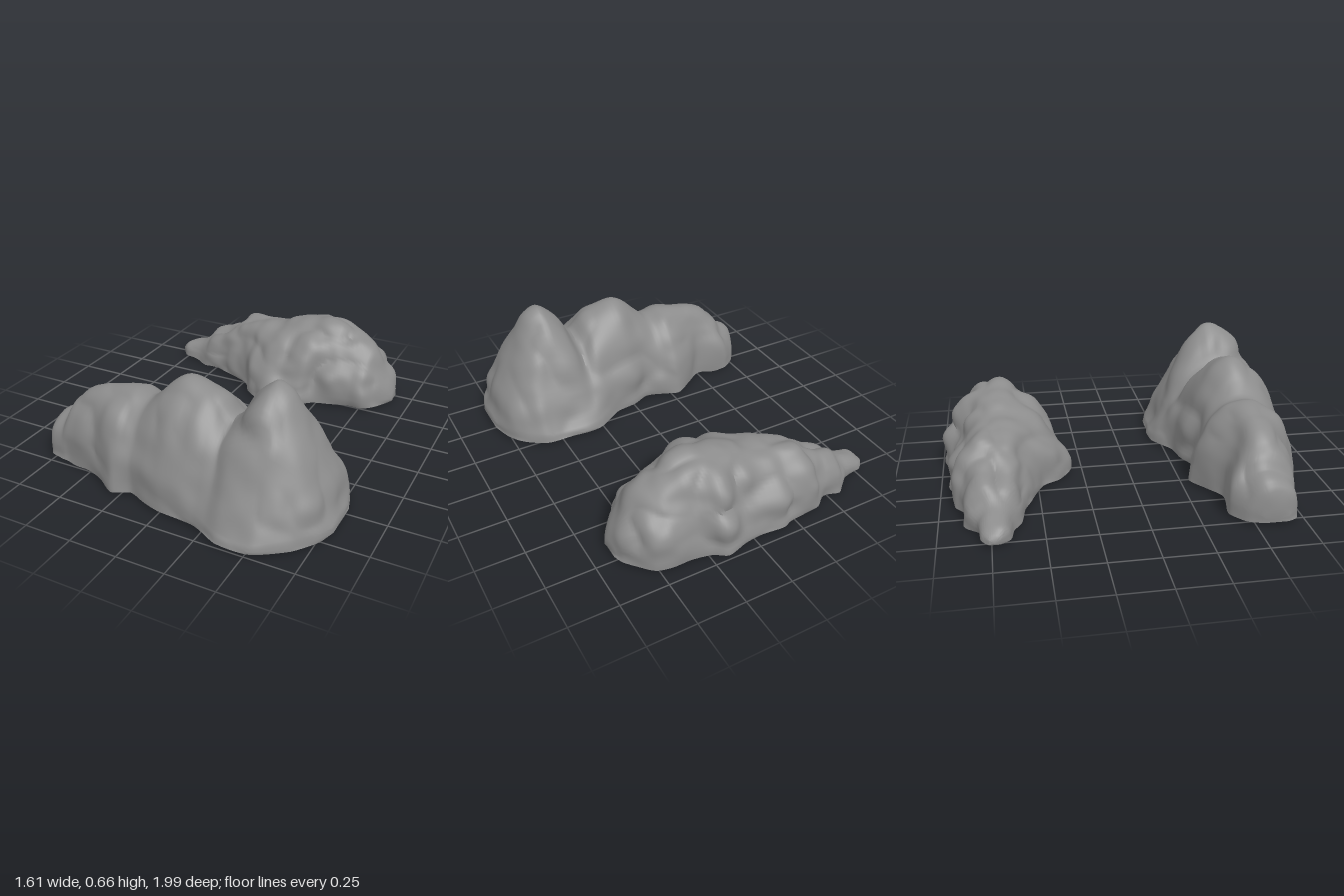
import * as THREE from 'three';
import { toCreasedNormals, mergeVertices } from 'three/addons/utils/BufferGeometryUtils.js';

// Seeded smooth 3D value noise in -1..1
function hash(x, y, z) {
  let n = Math.imul(x, 374761393) ^ Math.imul(y, 668265263) ^ Math.imul(z, 2147424726);
  n = Math.imul(n ^ (n >>> 13), 1274126177);
  return (((n ^ (n >>> 16)) >>> 0) / 4294967295) * 2 - 1;
}
function noise(x, y, z) {
  const ix = Math.floor(x), iy = Math.floor(y), iz = Math.floor(z);
  const s = (t) => t * t * (3 - 2 * t);
  const u = s(x - ix), v = s(y - iy), w = s(z - iz);
  let sum = 0;
  for (let k = 0; k < 8; k++) {
    const a = k & 1, b = (k >> 1) & 1, c = k >> 2;
    sum += hash(ix + a, iy + b, iz + c) * (a ? u : 1 - u) * (b ? v : 1 - v) * (c ? w : 1 - w);
  }
  return sum;
}

const BASE = 0.015, LIP = 0.025;
const ARCH = 60, FLOOR = 14; // points over the top and along the underside

// Lofts a rock mass along x. Station: [x, back z, front z, height, ridge z, flare]
// flare 1 = round dome section, 3 = narrow peak with a spreading foot
function rock(name, stations, lump, freq) {
  const curve = (a, b, c) => new THREE.CatmullRomCurve3(
    stations.map((s) => new THREE.Vector3(s[a], s[b], s[c])), false, 'catmullrom', 0.4);
  const plan = curve(0, 1, 2), rise = curve(3, 4, 5);
  const rings = (stations.length - 1) * 5, around = ARCH + FLOOR;
  const pos = [], idx = [];
  for (let i = 0; i <= rings; i++) {
    const p = plan.getPoint(i / rings), r = rise.getPoint(i / rings);
    for (let j = 0; j < around; j++) {
      if (j <= ARCH) {
        const a = (j / ARCH) * Math.PI, c = Math.cos(a), s = Math.max(Math.sin(a), 0);
        const side = c > 0 ? p.z - r.y : r.y - p.y;
        pos.push(p.x, BASE + LIP * Math.min(1, s * 5) + (r.x - BASE - LIP) * Math.pow(s, r.z),
          r.y + side * c);
      } else {
        pos.push(p.x, BASE, p.y + (p.z - p.y) * (j - ARCH) / FLOOR);
      }
      if (i < rings) {
        const a = i * around + j, b = i * around + (j + 1) % around;
        idx.push(a, a + around, b, b, a + around, b + around);
      }
    }
  }
  // End caps
  for (const i of [0, rings]) {
    const s = stations[i ? stations.length - 1 : 0], mid = pos.length / 3;
    pos.push(s[0], s[3] * 0.5, (s[1] + s[2]) / 2);
    for (let j = 0; j < around; j++) {
      const a = i * around + j, b = i * around + (j + 1) % around;
      if (i) idx.push(b, a, mid); else idx.push(a, b, mid);
    }
  }
  let geo = new THREE.BufferGeometry();
  geo.setAttribute('position', new THREE.Float32BufferAttribute(pos, 3));
  geo.setIndex(idx);
  geo = mergeVertices(geo, 1e-5);
  geo.computeVertexNormals();

  // Rounded lumps parted by creases, pushed along the normals, fading out at the base
  const P = geo.attributes.position, N = geo.attributes.normal;
  for (let i = 0; i < P.count; i++) {
    const x = P.getX(i), y = P.getY(i), z = P.getZ(i);
    if (y < BASE + 1e-4) {
      P.setY(i, BASE * (1 - Math.exp(-(((x + 0.6) / 0.06) ** 2)))); // small sag under the tail
      continue;
    }
    const fade = 0.25 + 0.75 * Math.min(1, y / 0.15);
    const boulder = Math.abs(noise(x * freq, y * freq, z * freq)) - 0.28;
    const f = freq * 2.1, fine = noise(x * f + 9, y * f, z * f);
    const d = lump * fade * (1.5 * boulder + 0.4 * fine);
    P.setXYZ(i, x + N.getX(i) * d, Math.max(BASE, y + N.getY(i) * d), z + N.getZ(i) * d);
  }
  const mesh = new THREE.Mesh(toCreasedNormals(geo, 0.8),
    new THREE.MeshStandardMaterial({ color: 0x8c8c8c }));
  mesh.name = name;
  return mesh;
}

export function createModel() {
  const group = new THREE.Group();
  group.name = 'rockFormations';

  // Front mass: low shoulder, central dome and a tall peak on a wide foot
  group.add(rock('frontRock', [
    [-0.80, 0.54, 0.66, 0.06, 0.60, 1.0],
    [-0.77, 0.46, 0.71, 0.19, 0.59, 1.0],
    [-0.69, 0.40, 0.73, 0.24, 0.56, 1.0],
    [-0.64, 0.40, 0.73, 0.34, 0.57, 0.95],
    [-0.50, 0.42, 0.76, 0.42, 0.57, 0.9],
    [-0.40, 0.36, 0.80, 0.44, 0.57, 1.0],
    [-0.29, 0.29, 0.87, 0.46, 0.57, 1.2],
    [-0.20, 0.32, 0.83, 0.44, 0.58, 1.2],
    [-0.10, 0.35, 0.87, 0.53, 0.58, 1.3],
    [0.00, 0.31, 0.90, 0.575, 0.58, 1.4],
    [0.12, 0.29, 0.91, 0.565, 0.58, 1.5],
    [0.20, 0.24, 0.92, 0.52, 0.58, 1.8],
    [0.27, 0.20, 0.95, 0.45, 0.58, 2.0],
    [0.35, 0.19, 0.99, 0.57, 0.57, 2.5],
    [0.45, 0.20, 1.00, 0.665, 0.57, 2.9],
    [0.53, 0.20, 0.99, 0.61, 0.58, 2.6],
    [0.60, 0.21, 0.95, 0.50, 0.58, 2.1],
    [0.68, 0.26, 0.89, 0.37, 0.58, 1.7],
    [0.73, 0.31, 0.83, 0.25, 0.58, 1.4],
    [0.77, 0.38, 0.77, 0.12, 0.58, 1.0],
    [0.80, 0.48, 0.68, 0.06, 0.58, 1.0],
  ], 0.018, 5.3));

  // Back mass: one craggy hump trailing off to a narrow tail
  group.add(rock('backRock', [
    [-0.79, -0.76, -0.71, 0.05, -0.73, 1.0],
    [-0.75, -0.79, -0.66, 0.10, -0.72, 1.0],
    [-0.65, -0.81, -0.64, 0.14, -0.72, 1.0],
    [-0.57, -0.88, -0.60, 0.20, -0.74, 1.0],
    [-0.47, -0.87, -0.58, 0.22, -0.73, 1.0],
    [-0.40, -0.92, -0.55, 0.28, -0.74, 1.0],
    [-0.32, -0.93, -0.52, 0.34, -0.74, 1.0],
    [-0.22, -0.94, -0.47, 0.36, -0.73, 1.2],
    [-0.16, -0.96, -0.38, 0.37, -0.72, 1.3],
    [-0.04, -0.95, -0.31, 0.39, -0.71, 1.5],
    [0.06, -0.96, -0.33, 0.42, -0.71, 1.4],
    [0.17, -0.99, -0.36, 0.45, -0.71, 1.3],
    [0.24, -0.95, -0.42, 0.45, -0.71, 1.1],
    [0.34, -0.93, -0.45, 0.42, -0.71, 1.0],
    [0.44, -0.93, -0.48, 0.37, -0.71, 1.0],
    [0.52, -0.91, -0.48, 0.31, -0.70, 1.0],
    [0.58, -0.85, -0.53, 0.24, -0.70, 0.9],
    [0.63, -0.79, -0.61, 0.15, -0.70, 0.9],
    [0.65, -0.74, -0.65, 0.07, -0.70, 1.0],
  ], 0.032, 6.2));

  return group;
}
